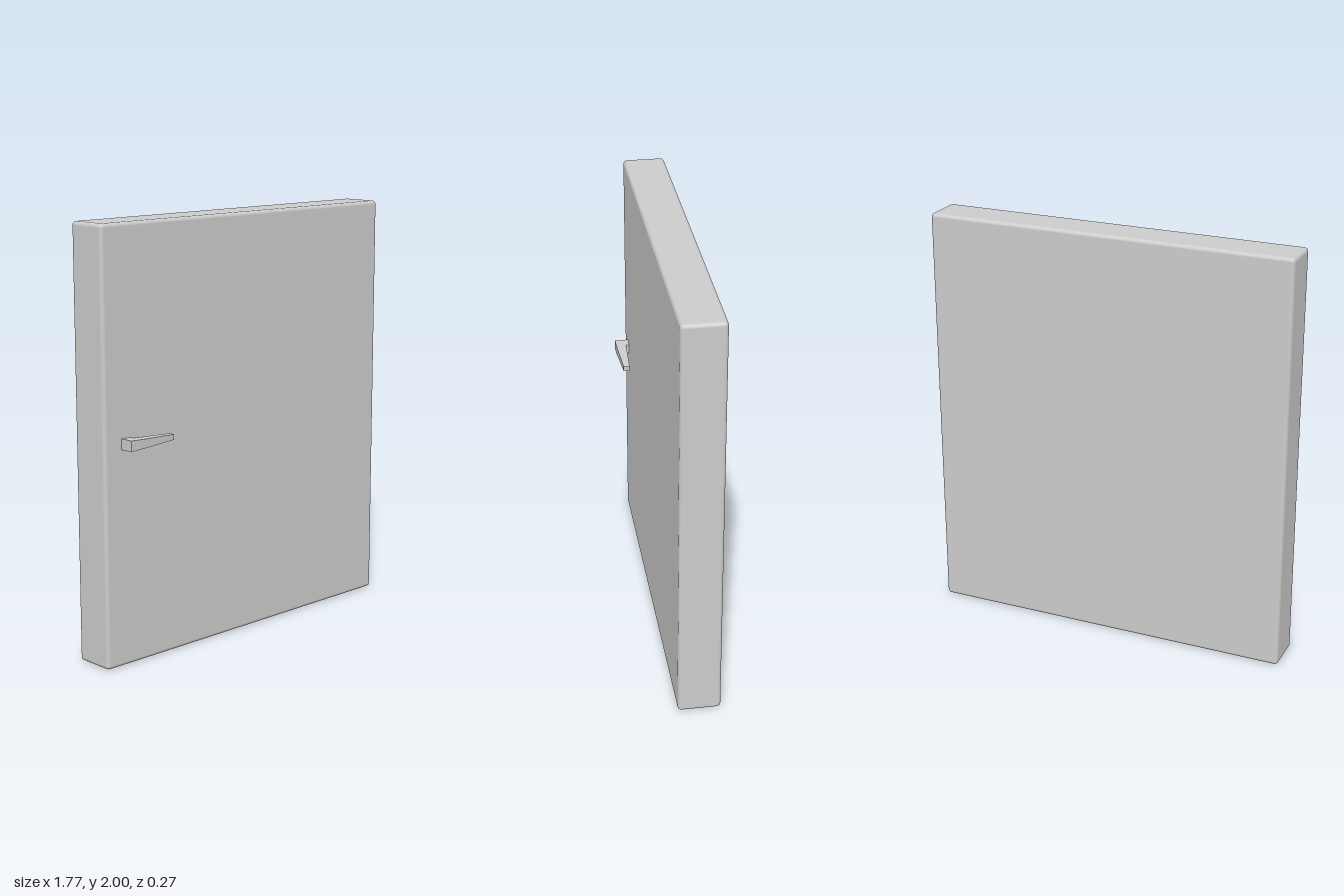
import * as THREE from 'three';
import { RoundedBoxGeometry } from 'three/addons/geometries/RoundedBoxGeometry.js';

export function createModel() {
  const group = new THREE.Group();
  const material = new THREE.MeshStandardMaterial({ color: 0xcccccc });

  // Door slab with softly rounded edges
  const panel = new THREE.Mesh(new RoundedBoxGeometry(1.775, 2, 0.2, 4, 0.018), material);
  panel.name = 'doorPanel';
  panel.position.set(0, 1, -0.033);
  group.add(panel);

  // Lever handle: L-shaped plan outline (x, z), extruded upwards
  const outline = [
    [-0.79, 0.06], [-0.735, 0.06], [-0.735, 0.083], [-0.53, 0.092],
    [-0.53, 0.122], [-0.735, 0.133], [-0.79, 0.133],
  ].map(([x, z]) => new THREE.Vector2(x, z));
  const lever = new THREE.ExtrudeGeometry(new THREE.Shape(outline), { depth: 1, bevelEnabled: false });
  lever.translate(0, 0, -0.5).rotateX(Math.PI / 2);

  // Taper the height towards the free end
  const pos = lever.attributes.position;
  for (let i = 0; i < pos.count; i++) {
    const t = (pos.getX(i) + 0.79) / 0.26;
    pos.setY(i, pos.getY(i) * THREE.MathUtils.lerp(0.05, 0.025, t));
  }
  lever.computeVertexNormals();

  const handle = new THREE.Mesh(lever, material);
  handle.name = 'leverHandle';
  handle.position.y = 1.029;
  group.add(handle);

  return group;
}
